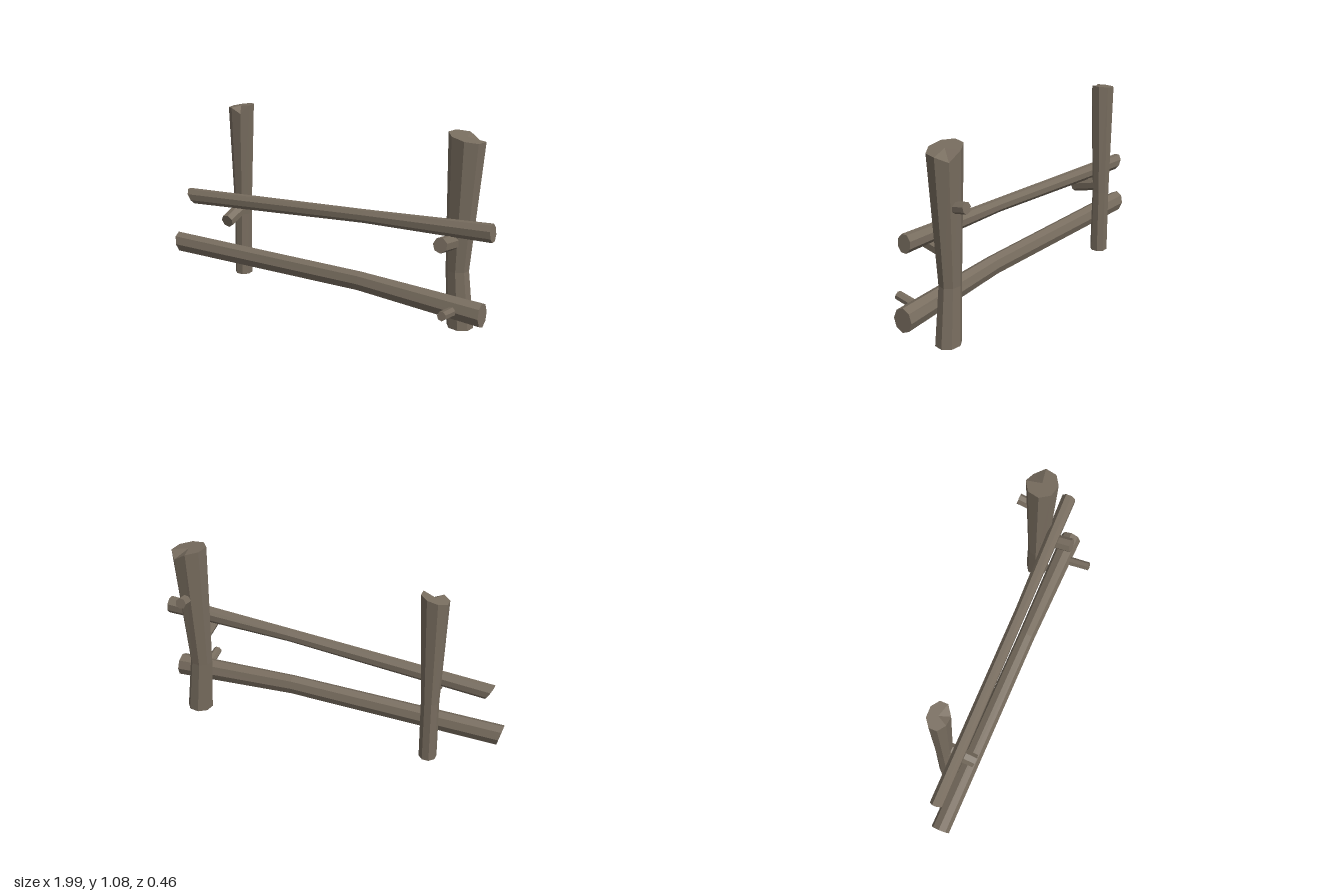
import * as THREE from 'three';

const wood = new THREE.MeshStandardMaterial({ color: 0x786d5f, flatShading: true });
wood.name = 'weatheredWood';

// Rough log running along one axis (0 = x, 1 = y, 2 = z), built from rings.
// Each ring: c = centre, r = radii on the two cross axes, tilt = slant of the cut.
// chip = { ring corner: offset along the axis } knocks corners off the far end.
function log(name, axis, rings, { sides = 8, phase = 0, chip = {} } = {}) {
  const u = (axis + 1) % 3, v = (axis + 2) % 3;
  const loops = rings.map(({ c, r, tilt = [0, 0] }, k) =>
    Array.from({ length: sides }, (_, j) => {
      const a = phase + (j / sides) * Math.PI * 2;
      const du = Math.cos(a) * r[0], dv = Math.sin(a) * r[1];
      const p = [...c];
      p[u] += du;
      p[v] += dv;
      p[axis] += du * tilt[0] + dv * tilt[1];
      if (k === rings.length - 1) p[axis] += chip[j] ?? 0;
      return p;
    }));
  const pos = [];
  const tri = (a, b, c) => pos.push(...a, ...b, ...c);
  const last = loops.length - 1;
  for (let j = 0; j < sides; j++) {
    const n = (j + 1) % sides;
    for (let k = 0; k < last; k++) {
      const [a, b] = [loops[k], loops[k + 1]];
      tri(a[j], a[n], b[n]);
      tri(a[j], b[n], b[j]);
    }
    // End cuts
    tri(rings[0].c, loops[0][n], loops[0][j]);
    tri(rings[last].c, loops[last][j], loops[last][n]);
  }
  const g = new THREE.BufferGeometry();
  g.setAttribute('position', new THREE.Float32BufferAttribute(pos, 3));
  g.computeVertexNormals();
  const mesh = new THREE.Mesh(g, wood);
  mesh.name = name;
  return mesh;
}

// Short branch stub along z, cut square to its own slope
function stub(name, x, [y0, z0], [y1, z1], r0, r1) {
  const tilt = [0, -(y1 - y0) / (z1 - z0)];
  return log(name, 2, [
    { c: [x, y0, z0], r: [r0, r0], tilt },
    { c: [x, y1, z1], r: [r1, r1], tilt },
  ], { sides: 7, phase: 0.4 });
}

export function createModel() {
  const fence = new THREE.Group();
  fence.name = 'fence';

  // Upright posts, thicker towards the top (radii in z, x)
  fence.add(
    log('leftPost', 1, [
      { c: [0.79, 0.003, -0.088], r: [0.068, 0.074], tilt: [0, -0.02] },
      { c: [0.762, 0.33, -0.086], r: [0.058, 0.064] },
      { c: [0.782, 1.062, -0.094], r: [0.088, 0.1], tilt: [0, -0.18] },
    ], { phase: 0.2, chip: { 3: -0.035 } }),
    log('rightPost', 1, [
      { c: [-0.613, 0.022, -0.072], r: [0.05, 0.05] },
      { c: [-0.61, 0.4, -0.078], r: [0.047, 0.05] },
      { c: [-0.605, 1.045, -0.078], r: [0.059, 0.077], tilt: [0, 0.2] },
    ], { phase: Math.PI / 8, chip: { 0: -0.04 } }),
  );

  // Rails lying across the posts (radii in y, z)
  fence.add(
    log('lowerRail', 0, [
      { c: [-0.983, 0.18, 0.052], r: [0.061, 0.052], tilt: [-0.25, 0] },
      { c: [0.25, 0.198, 0.054], r: [0.058, 0.048] },
      { c: [0.972, 0.165, 0.053], r: [0.068, 0.06], tilt: [-0.05, 0] },
    ]),
    log('upperRail', 0, [
      { c: [-0.91, 0.475, 0.015], r: [0.044, 0.037], tilt: [-0.55, 0] },
      { c: [0.25, 0.565, 0.014], r: [0.038, 0.034] },
      { c: [0.988, 0.608, 0.004], r: [0.051, 0.042], tilt: [-0.1, 0] },
    ], { phase: Math.PI / 8 }),
  );

  // Branch stubs on the posts and lower rail
  fence.add(
    stub('leftPostFrontStub', 0.75, [0.49, -0.08], [0.533, 0.12], 0.042, 0.041),
    stub('leftPostBackStub', 0.785, [0.785, -0.226], [0.76, -0.1], 0.031, 0.031),
    stub('rightPostStub', -0.6, [0.446, -0.07], [0.4, 0.1], 0.037, 0.038),
    stub('railStub', 0.82, [0.162, 0.06], [0.194, 0.226], 0.027, 0.025),
  );
  return fence;
}
